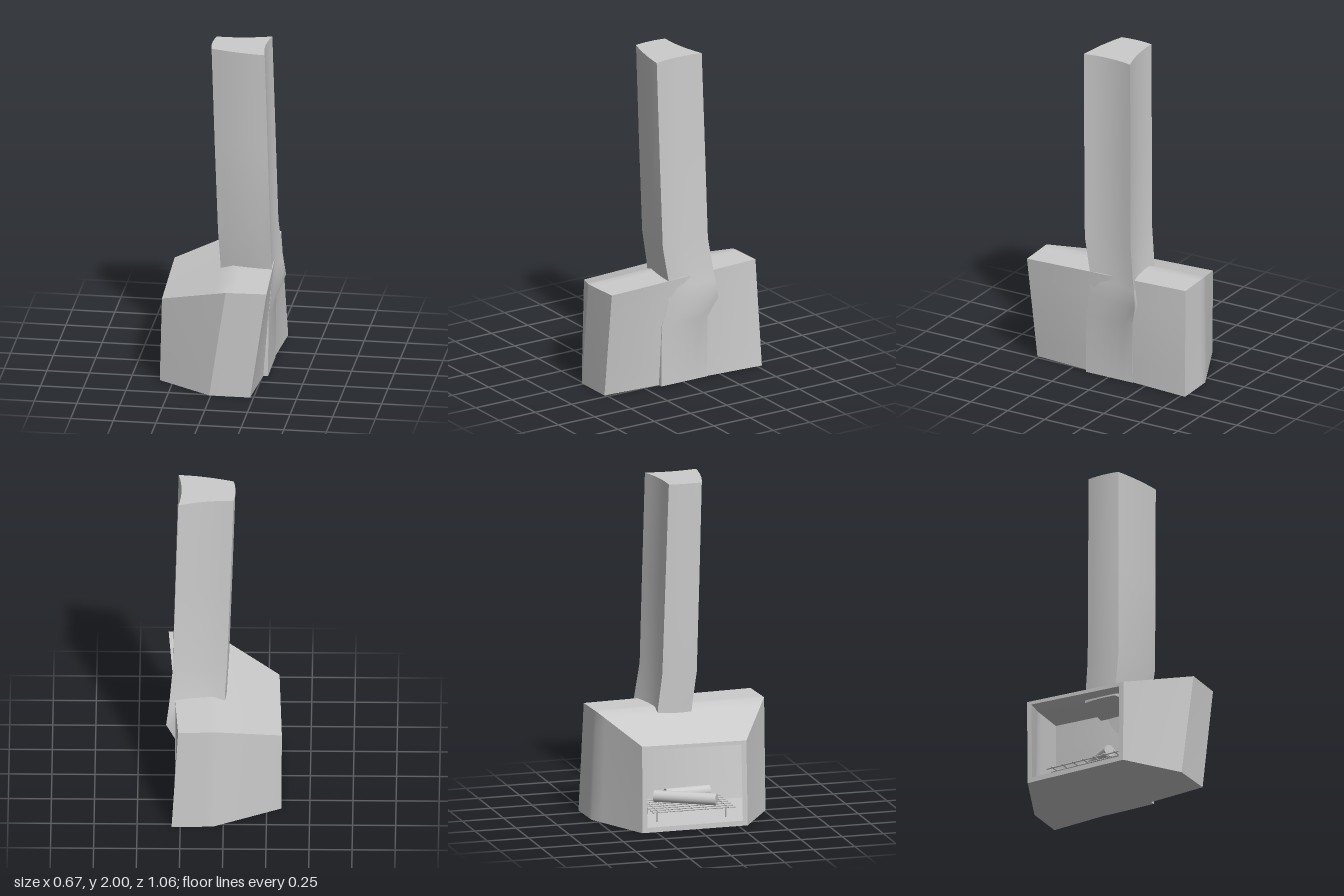
import * as THREE from 'three';
import { toCreasedNormals } from 'three/addons/utils/BufferGeometryUtils.js';

const material = new THREE.MeshStandardMaterial({ color: 0xcccccc });
const CREASE = Math.PI / 6;

// Bilinear patch over four corners given counter-clockwise from outside
function patch(out, a, b, c, d, n = 5) {
  const at = (u, v) => a.map((_, k) =>
    (1 - v) * ((1 - u) * a[k] + u * b[k]) + v * ((1 - u) * d[k] + u * c[k]));
  for (let i = 0; i < n; i++) for (let j = 0; j < n; j++) {
    const p = at(i / n, j / n), q = at((i + 1) / n, j / n);
    const r = at((i + 1) / n, (j + 1) / n), s = at(i / n, (j + 1) / n);
    out.push(...p, ...q, ...r, ...p, ...r, ...s);
  }
}

function meshFrom(positions, name) {
  const g = new THREE.BufferGeometry();
  g.setAttribute('position', new THREE.Float32BufferAttribute(positions, 3));
  return named(new THREE.Mesh(toCreasedNormals(g, CREASE), material), name);
}

function named(mesh, name) {
  mesh.name = name;
  return mesh;
}

// Round bar between two points
function bar(from, to, radius, sides, name) {
  const a = new THREE.Vector3(...from), b = new THREE.Vector3(...to);
  const m = new THREE.Mesh(new THREE.CylinderGeometry(radius, radius, a.distanceTo(b), sides), material);
  m.position.copy(a).add(b).multiplyScalar(0.5);
  m.quaternion.setFromUnitVectors(new THREE.Vector3(0, 1, 0), b.sub(a).normalize());
  return named(m, name);
}

// Hearth rings: front left, front middle, front right, back right, back middle, back left
const bottom = [[-0.33, 0, 0.305], [-0.01, 0, 0.51], [0.23, 0, 0.51],
  [0.3, 0, -0.53], [0.06, 0, -0.523], [-0.335, 0, -0.335]];
const top = [[-0.318, 0.505, 0.3], [0.09, 0.65, 0.532], [0.328, 0.65, 0.522],
  [0.262, 0.65, -0.51], [0.04, 0.65, -0.5], [-0.338, 0.518, -0.338]];

function inset(ring, dy) {
  return ring.map(([x, y, z], i) =>
    [i === 0 || i === 5 ? x : x - 0.03, y + dy, z - Math.sign(z) * 0.03]);
}

function createHearth() {
  const group = new THREE.Group();
  group.name = 'hearth';
  const innerBottom = inset(bottom, 0.03), innerTop = inset(top, -0.022);

  // Outer walls; the side between the last and first corner stays open
  const shell = [], cavity = [];
  for (let i = 0; i < 5; i++) {
    patch(shell, bottom[i], bottom[i + 1], top[i + 1], top[i]);
    patch(cavity, innerBottom[i + 1], innerBottom[i], innerTop[i], innerTop[i + 1]);
  }
  // Top and base, and the cavity's ceiling and floor
  for (const [a, b, c, d] of [[0, 1, 4, 5], [1, 2, 3, 4]]) {
    patch(shell, top[a], top[b], top[c], top[d]);
    patch(shell, bottom[d], bottom[c], bottom[b], bottom[a]);
    patch(cavity, innerTop[d], innerTop[c], innerTop[b], innerTop[a]);
    patch(cavity, innerBottom[a], innerBottom[b], innerBottom[c], innerBottom[d]);
  }
  // Rim around the opening
  const outer = [bottom[5], bottom[0], top[0], top[5]];
  const inner = [innerBottom[5], innerBottom[0], innerTop[0], innerTop[5]];
  for (let k = 0; k < 4; k++) {
    const n = (k + 1) % 4;
    patch(shell, outer[k], outer[n], inner[n], inner[k], 1);
  }
  group.add(meshFrom(shell, 'hearthShell'), meshFrom(cavity, 'fireboxLining'));
  return group;
}

// Chimney section: four corners (x, z) with gently bowed sides
function section({ y, c, bow }) {
  const n = 6, ring = [];
  const bows = [[0, 0.01], [-0.018, 0], [0, 0.016], [-0.01, 0]];
  for (let e = 0; e < 4; e++) for (let i = 0; i < n; i++) {
    const t = i / n, p = c[e], q = c[(e + 1) % 4], w = 4 * t * (1 - t) * bow;
    ring.push([p[0] + (q[0] - p[0]) * t + bows[e][0] * w, y, p[1] + (q[1] - p[1]) * t + bows[e][1] * w]);
  }
  return ring;
}

function cap(out, ring, up) {
  const mid = [0, 1, 2].map(k => ring.reduce((s, p) => s + p[k], 0) / ring.length);
  ring.forEach((p, i) => {
    const q = ring[(i + 1) % ring.length];
    out.push(...mid, ...(up ? p : q), ...(up ? q : p));
  });
}

function createChimney() {
  // Corners: front left, front right, back right, back left
  const rings = [
    { y: 0, bow: 0, c: [[0.255, 0.15], [0.282, 0.15], [0.28, -0.165], [0.255, -0.165]] },
    { y: 0.37, bow: 0, c: [[0.26, 0.15], [0.285, 0.15], [0.284, -0.165], [0.26, -0.165]] },
    { y: 0.5, bow: 0.5, c: [[0.26, 0.115], [0.293, 0.115], [0.335, -0.21], [0.26, -0.2]] },
    { y: 0.6, bow: 0.8, c: [[0.26, 0.11], [0.298, 0.11], [0.322, -0.197], [0.26, -0.19]] },
    { y: 0.6, bow: 0.8, c: [[-0.008, 0.06], [0.298, 0.11], [0.322, -0.197], [-0.005, -0.145]] },
    { y: 0.66, bow: 1, c: [[-0.01, 0.065], [0.3, 0.115], [0.315, -0.187], [-0.005, -0.14]] },
    { y: 0.86, bow: 1, c: [[-0.02, 0.09], [0.296, 0.15], [0.297, -0.16], [-0.018, -0.118]] },
    { y: 1.4, bow: 1, c: [[-0.038, 0.1], [0.282, 0.162], [0.282, -0.15], [-0.036, -0.105]] },
    { y: 2, bow: 1, c: [[-0.055, 0.11], [0.266, 0.173], [0.265, -0.138], [-0.055, -0.09]] },
  ].map(section);
  const out = [];
  for (let r = 0; r + 1 < rings.length; r++) {
    const lo = rings[r], hi = rings[r + 1];
    for (let i = 0; i < lo.length; i++) {
      const n = (i + 1) % lo.length;
      patch(out, lo[i], lo[n], hi[n], hi[i], 1);
    }
  }
  cap(out, rings[0], false);
  cap(out, rings[rings.length - 1], true);
  return meshFrom(out, 'chimney');
}

function createFire() {
  const group = new THREE.Group();
  group.name = 'fire';
  // Grate bars in both directions, on four short legs
  for (let i = 0; i <= 6; i++) {
    const x = -0.26 + i * 0.05;
    group.add(bar([x, 0.1, -0.25], [x, 0.1, 0.25], 0.005, 6, 'grateBar'));
  }
  for (let i = 0; i <= 6; i++) {
    const z = -0.21 + i * 0.07;
    group.add(bar([-0.28, 0.1, z], [0.06, 0.1, z], 0.005, 6, 'grateCrossBar'));
  }
  for (const x of [-0.21, -0.01]) for (const z of [-0.21, 0.21])
    group.add(bar([x, 0.03, z], [x, 0.1, z], 0.006, 6, 'grateLeg'));
  // Logs
  group.add(bar([-0.22, 0.14, 0.15], [-0.03, 0.14, -0.17], 0.035, 16, 'log'));
  group.add(bar([0.0, 0.14, 0.17], [-0.02, 0.14, -0.1], 0.035, 16, 'log'));
  return group;
}

export function createModel() {
  const model = new THREE.Group();
  model.name = 'fireplace';
  model.add(createHearth(), createChimney(), createFire());
  return model;
}
